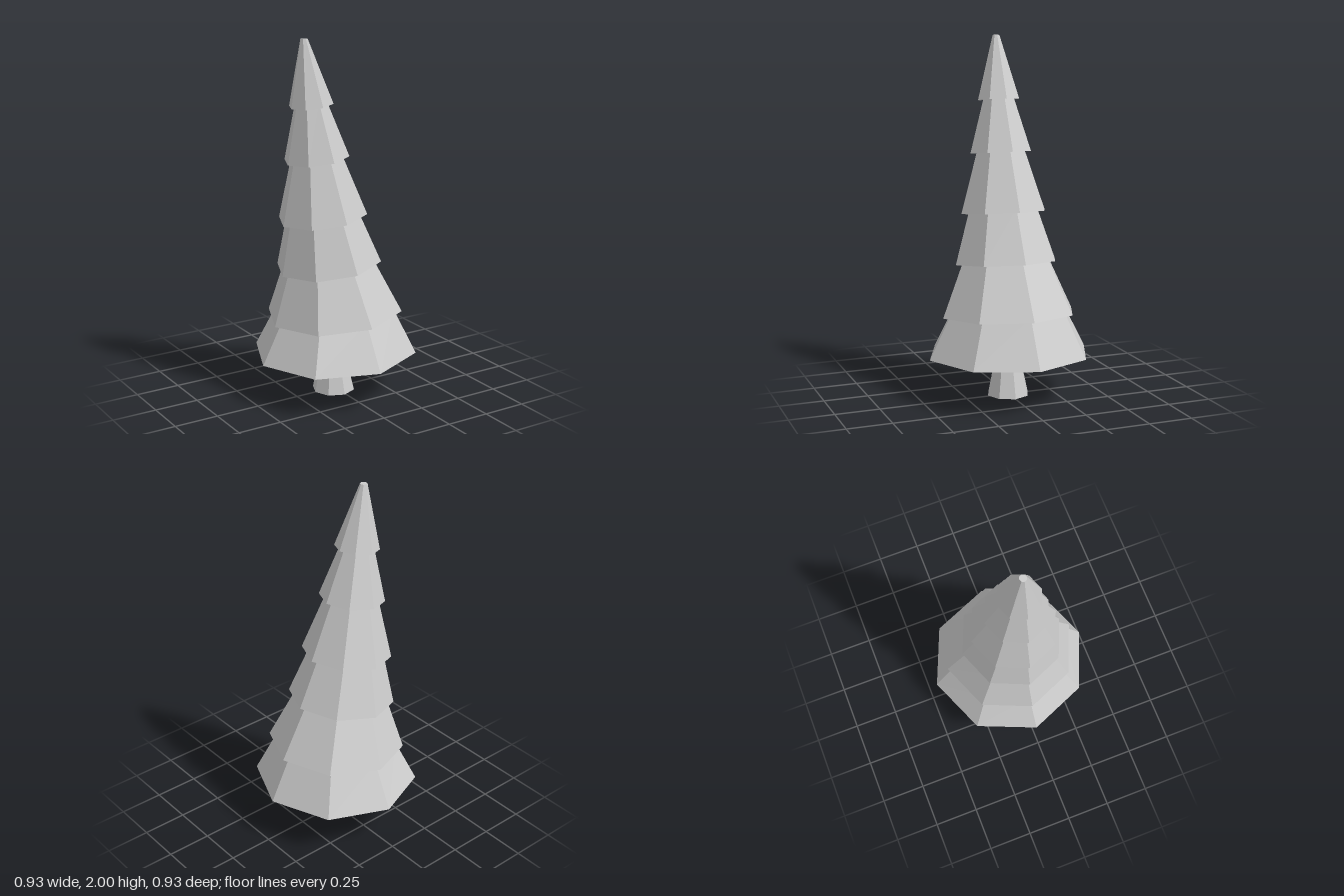
import * as THREE from 'three';

const SIDES = 8;

// Skins a stack of octagonal rings [centreX, centreY, radius, tilt];
// tilt is the height gained from the centre to the +x corner.
function loft(rings, name) {
  const pos = [], index = [];
  for (const [cx, cy, r, tilt = 0] of rings) {
    for (let j = 0; j < SIDES; j++) {
      const a = (j / SIDES) * Math.PI * 2;
      pos.push(cx + r * Math.cos(a), cy + tilt * Math.cos(a), r * Math.sin(a));
    }
  }
  for (let i = 0; i < rings.length - 1; i++) {
    for (let j = 0; j < SIDES; j++) {
      const k = (j + 1) % SIDES;
      const a = i * SIDES + j, b = i * SIDES + k, c = a + SIDES, d = b + SIDES;
      if (rings[i][2] > 0) index.push(a, c, b);
      if (rings[i + 1][2] > 0) index.push(b, c, d);
    }
  }
  const geo = new THREE.BufferGeometry();
  geo.setAttribute('position', new THREE.Float32BufferAttribute(pos, 3));
  geo.setIndex(index);
  geo.computeVertexNormals();
  const mesh = new THREE.Mesh(geo, new THREE.MeshStandardMaterial({ color: 0xcccccc, flatShading: true }));
  mesh.name = name;
  return mesh;
}

export function createModel() {
  const tree = new THREE.Group();
  tree.name = 'leaningPineTree';

  // Trunk: pinched in the middle, flaring into the foliage
  tree.add(loft([
    [-0.01, 0, 0],
    [-0.01, 0, 0.12],
    [-0.015, 0.2, 0.077],
    [-0.02, 0.37, 0.12],
  ], 'trunk'));

  // Drooping rim of each branch tier, bottom to top
  const rims = [
    [0, 0.242, 0.463, 0.013],
    [-0.003, 0.47, 0.383, 0.03],
    [-0.04, 0.755, 0.295, 0.035],
    [-0.078, 1.03, 0.248, 0.03],
    [-0.115, 1.357, 0.18, 0.023],
    [-0.148, 1.648, 0.122, 0.013],
  ];
  // Radius of the tier below where it tucks under each rim
  const necks = [0, 0.335, 0.25, 0.2, 0.138, 0.086];

  // Hollow underside, then alternating necks and rims up to the blunt tip
  const rings = [[-0.01, 0.365, 0], [-0.01, 0.365, 0.26, 0.01]];
  rims.forEach((rim, i) => {
    const [x, y, r, tilt] = rim;
    if (i > 0) rings.push([x - 0.003, y + 0.02, necks[i], tilt * necks[i] / r]);
    rings.push(rim);
  });
  rings.push([-0.19, 2, 0.02], [-0.19, 2, 0]);
  tree.add(loft(rings, 'foliage'));

  return tree;
}
